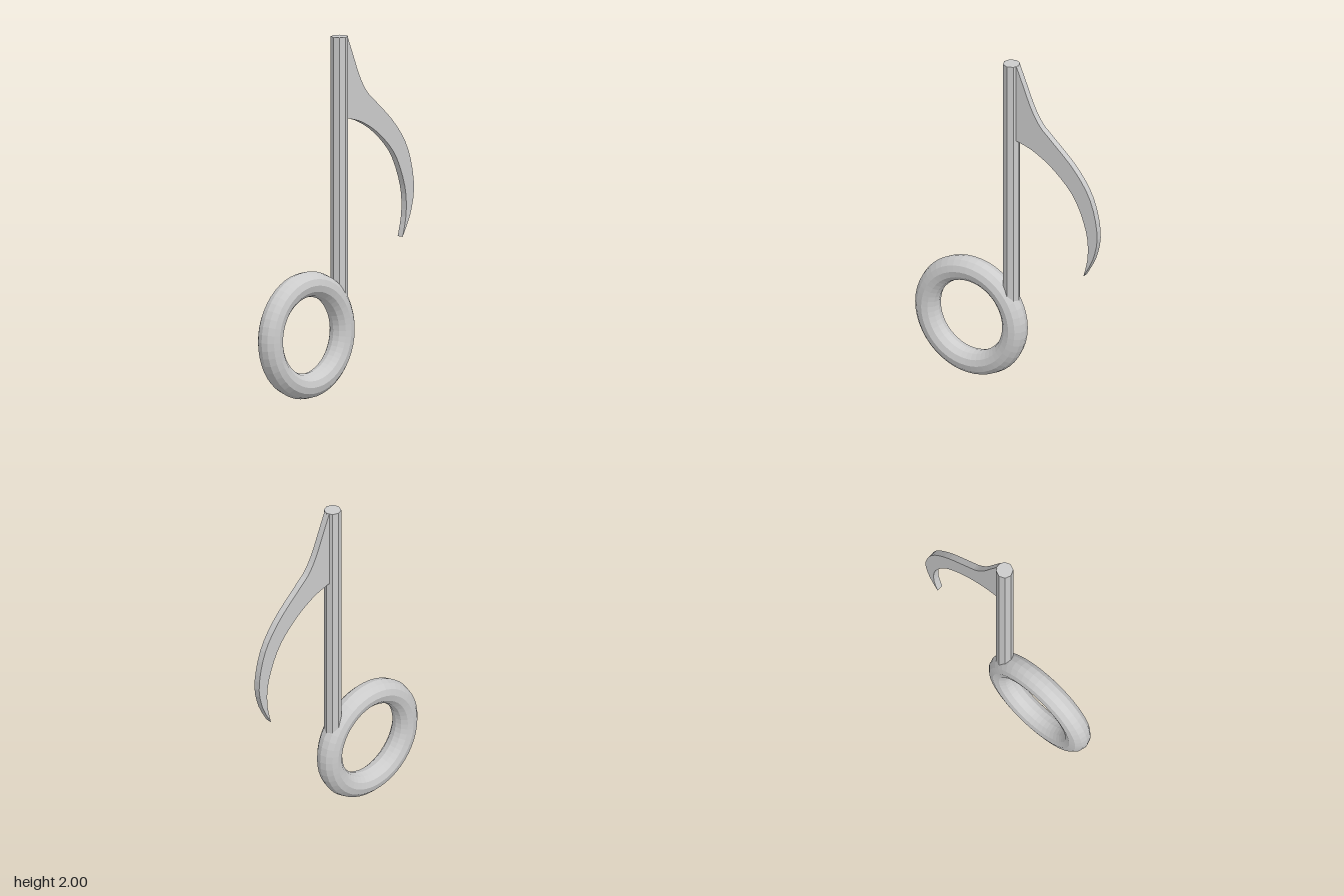
import * as THREE from 'three';

const material = new THREE.MeshStandardMaterial({ color: 0xcccccc, flatShading: true });

function addPart(group, name, geometry, y, z) {
  const mesh = new THREE.Mesh(geometry, material);
  mesh.name = name;
  mesh.position.set(0, y, z);
  group.add(mesh);
  return mesh;
}

const points = (list) => list.map(([x, y]) => new THREE.Vector2(x, y));

export function createModel() {
  const group = new THREE.Group();
  group.name = 'musicalNote';

  // Ring-shaped note head, standing in the side plane
  const ring = new THREE.TorusGeometry(0.285, 0.071, 12, 48).rotateY(Math.PI / 2);
  addPart(group, 'noteHead', ring, 0.357, 0.24);

  // Octagonal stem, its foot sunk into the ring
  const bottom = 0.42, top = 2;
  const stem = new THREE.CylinderGeometry(0.048, 0.048, top - bottom, 8);
  addPart(group, 'stem', stem, (top + bottom) / 2, -0.022);

  // Curved flag: outline drawn as (distance behind centre, height)
  const flag = new THREE.Shape();
  flag.moveTo(0.05, 1.535);
  flag.lineTo(0.05, 2);
  flag.lineTo(0.066, 2);
  flag.splineThru(points([[0.115, 1.88], [0.165, 1.76], [0.22, 1.67], [0.29, 1.605], [0.445, 1.46],
    [0.55, 1.3], [0.595, 1.1], [0.57, 0.945], [0.505, 0.815]]));
  flag.splineThru(points([[0.533, 0.945], [0.522, 1.1], [0.445, 1.285], [0.315, 1.42],
    [0.18, 1.502], [0.07, 1.535]]));
  flag.closePath();
  const thickness = 0.038;
  const flagGeometry = new THREE.ExtrudeGeometry(flag, {
    depth: thickness, bevelEnabled: false, curveSegments: 3,
  });
  flagGeometry.translate(0, 0, -thickness / 2).rotateY(Math.PI / 2);
  addPart(group, 'flag', flagGeometry, 0, 0);

  return group;
}
